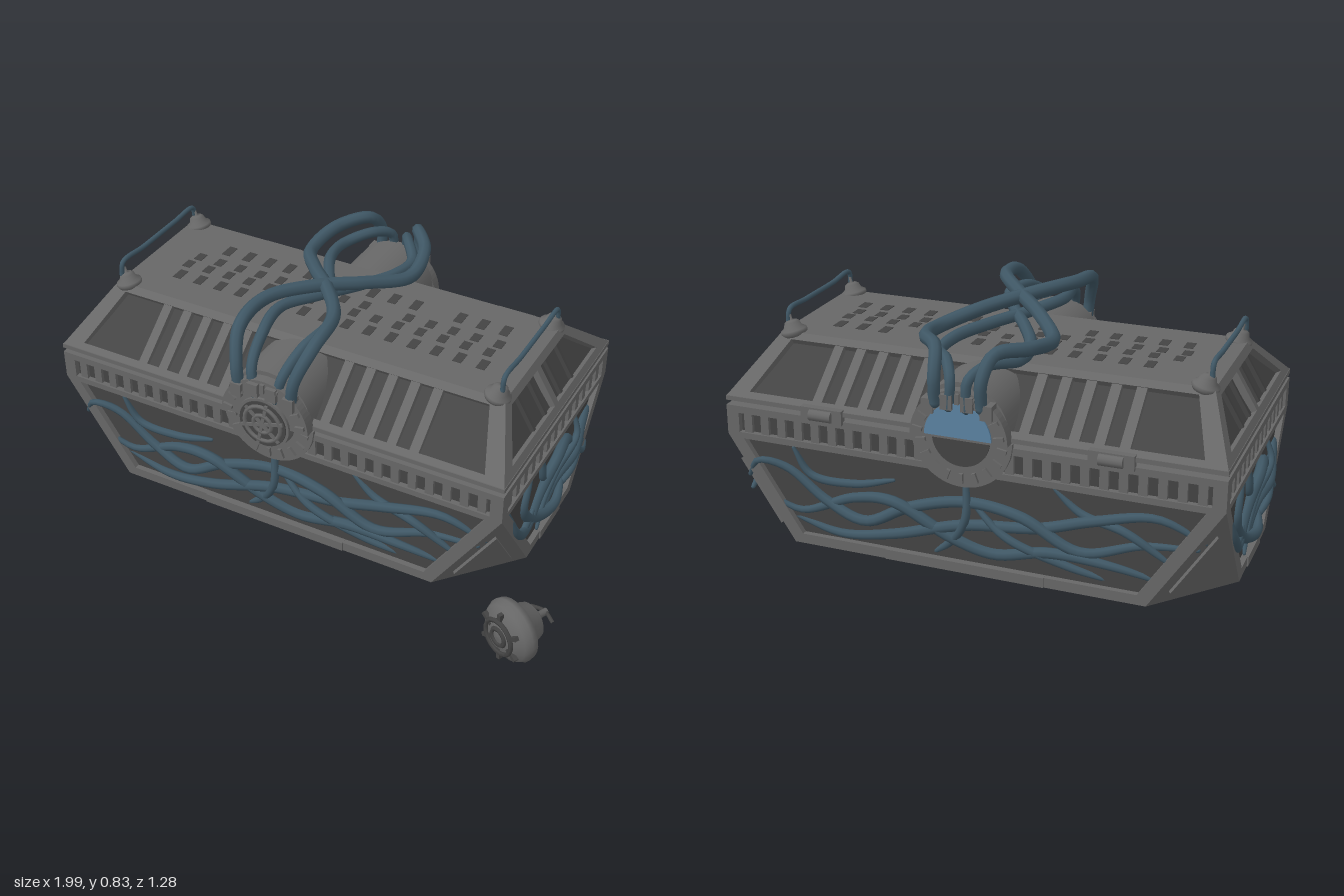
import * as THREE from 'three';
import { ConvexGeometry } from 'three/addons/geometries/ConvexGeometry.js';

const V = (x, y, z) => new THREE.Vector3(x, y, z);
const mat = (name, color) => Object.assign(new THREE.MeshStandardMaterial({ color }), { name });

export function createModel() {
  const grey = mat('worn grey metal', 0x676767);
  const dark = mat('dark metal', 0x444444);
  const blue = mat('blue cable', 0x3f5765);
  const glow = mat('pale blue core', 0x5b83a3);

  const model = new THREE.Group();
  model.name = 'cableChest';
  const chest = new THREE.Group();
  chest.name = 'chest';
  chest.position.set(-0.105, 0, -0.105);
  model.add(chest);

  const HW = 0.865, HD = 0.475;     // half width and depth
  const CX = 0.24, CZ = 0.27;       // corner cuts at the floor
  const APEX = 0.37;                // height where the corner cuts start
  const TW = 0.76, TD = 0.25;       // half size of the lid's flat top

  const add = (parent, name, geo, material, x = 0, y = 0, z = 0) => {
    const m = new THREE.Mesh(geo, material);
    m.name = name;
    m.position.set(x, y, z);
    parent.add(m);
    return m;
  };
  const box = (parent, name, w, h, d, material, x, y, z) =>
    add(parent, name, new THREE.BoxGeometry(w, h, d), material, x, y, z);
  const poly = (pts, Type = THREE.Shape) => new Type(pts.map(p => new THREE.Vector2(p[0], p[1])));
  const extrude = (shape, depth) => new THREE.ExtrudeGeometry(shape, { depth, bevelEnabled: false, curveSegments: 16 });
  const plate = (outer, holes, depth) => {
    const s = poly(outer);
    s.holes = holes.map(h => poly(h, THREE.Path));
    return extrude(s, depth);
  };
  // Half disc, upper or lower
  const halfDisc = (r, depth, upper) =>
    extrude(new THREE.Shape().absarc(0, 0, r, upper ? 0 : Math.PI, upper ? Math.PI : 2 * Math.PI, false), depth);
  // Cable through points, tapered toward its ends
  const cable = (parent, name, pts, r, taper = 0.5) => {
    const curve = new THREE.CatmullRomCurve3(pts);
    const segs = pts.length * 6, sides = 8;
    const geo = new THREE.TubeGeometry(curve, segs, r, sides, false);
    const pos = geo.attributes.position, p = V(0, 0, 0);
    for (let i = 0; i <= segs; i++) {
      const c = curve.getPointAt(i / segs);
      const k = 1 - taper * Math.pow(Math.abs(2 * i / segs - 1), 3);
      for (let j = 0; j <= sides; j++) {
        const n = i * (sides + 1) + j;
        p.fromBufferAttribute(pos, n).sub(c).multiplyScalar(k).add(c);
        pos.setXYZ(n, p.x, p.y, p.z);
      }
    }
    add(parent, name, geo, blue);
    for (const e of [0, 1]) {
      const c = curve.getPointAt(e);
      add(parent, name + 'End', new THREE.SphereGeometry(r * (1 - taper), 8, 6), blue, c.x, c.y, c.z);
    }
  };

  // Dark inner bodies of base and lid
  const hull = [], lidHull = [], g = 0.02;
  for (const sx of [-1, 1]) for (const sz of [-1, 1]) {
    const w = HW - g, d = HD - g;
    hull.push(V(sx * w, 0.46, sz * d), V(sx * w, APEX, sz * d),
      V(sx * (w - CX), 0.015, sz * d), V(sx * w, 0.015, sz * (d - CZ)));
    lidHull.push(V(sx * w, 0.5, sz * d), V(sx * (TW - g), 0.655, sz * (TD - g)));
  }
  add(chest, 'baseBody', new ConvexGeometry(hull), dark);
  add(chest, 'lidBody', new ConvexGeometry(lidHull), dark);
  box(chest, 'baseRim', 2 * HW, 0.02, 2 * HD, grey, 0, 0.465, 0);
  box(chest, 'lidRim', 2 * HW, 0.016, 2 * HD, grey, 0, 0.5, 0);
  box(chest, 'lidTop', 2 * TW, 0.03, 2 * TD, grey, 0, 0.665, 0);
  const fx = HW - 0.01, fz = HD - 0.01, floor = [];
  for (const [sx, sz] of [[1, 1], [-1, 1], [-1, -1], [1, -1]]) {
    const ends = [[sx * fx, sz * (fz - CZ)], [sx * (fx - CX), sz * fz]];
    floor.push(...(sx * sz > 0 ? ends : ends.reverse()));
  }
  add(chest, 'floorPlate', plate(floor, [], 0.014).rotateX(Math.PI / 2), grey, 0, 0.018, 0);

  // Root-like cables, as points across a face
  const longRoots = [
    [[-.8, .22], [-.75, .29], [-.65, .27], [-.5, .17], [-.35, .13], [-.2, .2], [0, .25], [.2, .24], [.4, .15], [.6, .2], [.78, .22]],
    [[-.7, .15], [-.6, .12], [-.4, .2], [-.25, .22], [-.05, .12], [.1, .08], [.3, .13], [.5, .12], [.66, .08]],
    [[-.64, .09], [-.45, .06], [-.25, .1], [0, .17], [.25, .2], [.45, .27], [.65, .31], [.8, .24]],
    [[0, .36], [.01, .2], [-.05, .1], [-.12, .04]],
    [[-.62, .35], [-.56, .26], [-.4, .25], [-.25, .29]],
    [[.3, .35], [.4, .28], [.55, .25], [.7, .15]],
    [[.02, .25], [.15, .16], [.35, .09], [.5, .05]],
  ];
  const shortRoots = [
    [[-.38, .33], [-.33, .21], [-.2, .13], [-.1, .21], [0, .3], [.12, .3], [.2, .22], [.28, .14], [.36, .12]],
    [[-.21, .35], [-.24, .24], [-.14, .13], [.02, .08], [.16, .1]],
    [[0, .05], [.04, .17], [.18, .2], [.28, .26], [.41, .28]],
    [[.22, .35], [.2, .27], [.06, .2], [-.04, .13], [-.1, .05]],
    [[-.1, .35], [-.08, .27], [-.02, .24]],
    [[-.27, .07], [-.22, .14], [-.16, .18]],
    [[.12, .06], [.17, .13], [.27, .17], [.4, .2]],
  ];

  // Four walls with their lid slopes
  ['front', 'left', 'back', 'right'].forEach((side, i) => {
    const long = i % 2 === 0;
    const W = long ? HW : HD, D = long ? HD : HW, cut = long ? CX : CZ;
    const topW = long ? TW : TD, run = D - (long ? TD : TW);
    const face = new THREE.Group();
    face.name = side + 'Wall';
    face.rotation.y = i * Math.PI / 2;
    chest.add(face);

    const b = 0.045, low = W - cut;
    const outline = [[-low, 0], [low, 0], [W, APEX], [W, 0.475], [-W, 0.475], [-W, APEX]];
    const band = [[-W + b, .38], [W - b, .38], [W - b, .45], [-W + b, .45]];
    const opening = [[-low + .03, .035], [low - .03, .035], [W - .06, .358], [-W + .06, .358]];
    add(face, 'baseFrame', plate(outline, [band, opening], 0.028), grey, 0, 0, D - 0.028);

    // Slats in the upper band
    const n = Math.round(2 * (W - b) / 0.064);
    for (let k = 0; k < n; k++)
      box(face, 'bandSlat', 0.03, 0.075, 0.018, grey, ((k + .5) / n - .5) * 2 * (W - b), 0.415, D - 0.016);
    box(face, 'floorLip', 0.9 * low, 0.035, 0.02, grey, 0, 0.018, D - 0.005);

    // Lid slope frame, built flat then leaned back
    const slope = new THREE.Group();
    slope.name = 'lidSlope';
    slope.position.set(0, 0.505, D);
    slope.rotation.x = -Math.atan2(run, 0.175);
    face.add(slope);
    const L = Math.hypot(run, 0.175), a = 0.03, e = long ? 0.06 : 0.075;
    const trap = [[-W, 0], [W, 0], [topW, L], [-topW, L]];
    const inL = [-W + e + .02, a], inT = [-topW + (long ? .045 : .02), L - a];
    const holes = long
      ? [[inL, [-inL[0], a], [-inT[0], L - a], inT]]
      : [-1, 1].map(s => [[s * .015, a], [-s * inL[0], a], [-s * inT[0], L - a], [s * .015, L - a]]);
    add(slope, 'slopeFrame', plate(trap, holes, 0.025), grey, 0, 0, -0.025);
    if (long) for (const s of [-1, 1]) for (let k = 0; k < 5; k++)
      box(slope, 'slopeRib', 0.034, L - 0.06, 0.022, grey, s * (0.2 + k * 0.083), L / 2, -0.014);
    else for (const x of [-.17, -.07, .07, .17])
      box(slope, 'slopeRib', 0.014, L - 0.07, 0.015, dark, x, L / 2, -0.014);

    // Cables creeping over the wall, dipping in at their ends
    (long ? longRoots : shortRoots).forEach((root, r) => {
      const last = root.length - 1;
      const pts = root.map(([x, y], k) => V(x, y, D - (k === 0 || k === last ? 0.02 : 0.007) + 0.012 * Math.sin(k * 1.9 + r * 2)));
      cable(face, 'rootCable', pts, r < 3 ? 0.02 : 0.015, 0.6);
    });
  });

  // Cut corners: a plain triangle with a raised smaller one
  for (const sx of [-1, 1]) for (const sz of [-1, 1]) {
    let A = V(sx * (HW - CX), 0, sz * HD), B = V(sx * HW, 0, sz * (HD - CZ));
    if (sx * sz < 0) [A, B] = [B, A];
    const u = B.clone().sub(A), len = u.length();
    u.normalize();
    const v = V(sx * HW, APEX, sz * HD).sub(A), px = v.dot(u);
    v.addScaledVector(u, -px);
    const h = v.length();
    v.normalize();
    const nrm = u.clone().cross(v);
    const tri = [[0, 0], [len, 0], [px, h]];
    const mid = [(len + px) / 3, h / 3];
    const inner = tri.map(q => [mid[0] + (q[0] - mid[0]) * .6, mid[1] + (q[1] - mid[1]) * .6]);
    const corner = new THREE.Group();
    corner.name = 'cornerGusset';
    corner.applyMatrix4(new THREE.Matrix4().makeBasis(u, v, nrm).setPosition(A));
    chest.add(corner);
    add(corner, 'cornerPlate', plate(tri, [], 0.02), grey, 0, 0, -0.02);
    add(corner, 'cornerBoss', plate(inner, [], 0.01), grey);
  }

  // Vent slots in the lid's top
  [[-.115, .06], [-.03, .045], [.03, .045], [.105, .055]].forEach(([z, d], r) => {
    for (let k = 0; k < 15; k++) if ((k * 7 + r * 3) % 11 !== 0)
      box(chest, 'ventSlot', 0.032, 0.004, d, dark, -0.6 + k * 0.086 + (r % 2) * 0.012, 0.68, z);
  });

  // Drum through the lid with a round lock plate at each end
  add(chest, 'drum', new THREE.CylinderGeometry(0.16, 0.16, 0.95, 32).rotateX(Math.PI / 2), grey, 0, 0.515, 0);
  for (const s of [1, -1]) {
    const lock = new THREE.Group();
    lock.name = s > 0 ? 'frontLock' : 'backLock';
    lock.position.set(0, 0.49, s * 0.47);
    lock.rotation.y = s > 0 ? 0 : Math.PI;
    chest.add(lock);
    add(lock, 'upperLockPlate', halfDisc(0.168, 0.04, true), grey);
    add(lock, 'lowerLockPlate', halfDisc(0.174, 0.014, false), grey);
    for (let k = 0; k < 18; k++) {
      const t = (k + .5) * Math.PI / 9;
      box(lock, 'lockTooth', 0.035, 0.014, 0.016, grey, Math.cos(t) * .142, Math.sin(t) * .142, k < 9 ? 0.042 : 0.016).rotation.z = t;
    }
    if (s > 0) {
      add(lock, 'lockHub', new THREE.CylinderGeometry(0.1, 0.105, 0.045, 32).rotateX(Math.PI / 2), grey, 0, 0, 0.026);
      add(lock, 'lockFace', new THREE.CylinderGeometry(0.09, 0.09, 0.006, 32).rotateX(Math.PI / 2), dark, 0, 0, 0.049);
      for (const r of [.035, .07]) add(lock, 'lockInnerRing', new THREE.TorusGeometry(r, 0.008, 6, 24), grey, 0, 0, 0.052);
      for (let k = 0; k < 3; k++) box(lock, 'lockSpoke', 0.17, 0.012, 0.01, grey, 0, 0, 0.053).rotation.z = k * Math.PI / 3 + .3;
    } else {
      add(lock, 'lockCore', halfDisc(0.115, 0.006, true), glow, 0, 0.01, 0.04);
      add(lock, 'lockRecess', halfDisc(0.1, 0.004, false), dark, 0, 0, 0.014);
    }
    for (const x of [-.1, -.035, .035, .1])
      box(lock, 'cableSocket', 0.04, 0.05, 0.045, grey, x, 0.14 - Math.abs(x) * .3, 0.033);
  }

  // Crossing cables that arch over the lid
  for (const s of [-1, 1]) {
    cable(chest, 'archCable', [V(s * .1, .59, .5), V(s * .11, .68, .495), V(s * .14, .78, .42), V(s * .13, .808, .26), V(s * .02, .8, .1),
      V(-s * .1, .775, -.03), V(-s * .2, .745, -.18), V(-s * .18, .765, -.34), V(-s * .1, .77, -.45), V(-s * .08, .7, -.51), V(-s * .08, .61, -.51)], 0.025, 0.2);
    cable(chest, 'innerArchCable', [V(s * .04, .59, .5), V(s * .06, .68, .48), V(s * .08, .74, .38), V(s * .1, .755, .22), V(s * .03, .745, .08),
      V(-s * .06, .735, -.06), V(-s * .13, .725, -.2), V(-s * .14, .715, -.32), V(-s * .07, .725, -.43), V(-s * .03, .69, -.5), V(-s * .03, .6, -.51)], 0.021, 0.2);
  }

  // Knobs on the lid corners, joined in pairs by a thin wire
  const knobProfile = [[0, -.055], [.06, -.05], [.1, -.025], [.112, 0], [.108, .022], [.075, .045], [.062, .085], [.04, .1], [.012, .105], [.012, .15], [0, .15]];
  const knobGeo = new THREE.LatheGeometry(knobProfile.map(p => new THREE.Vector2(p[0], p[1])), 24);
  for (const sx of [-1, 1]) {
    for (const sz of [-1, 1]) {
      const k = add(chest, 'lidKnob', knobGeo, grey, sx * .725, .675, sz * .232);
      k.scale.setScalar(0.42);
      k.rotation.z = -sx * 0.25;
    }
    const x = sx * .745;
    cable(chest, 'handleWire', [V(x, .71, -.235), V(x, .75, -.225), V(x, .752, -.1), V(x, .752, .1), V(x, .755, .235), V(x, .71, .245)], 0.009, 0);
  }

  // Hinges at the back
  for (const x of [-.5, .5]) {
    box(chest, 'hingePlate', 0.15, 0.05, 0.025, grey, x, 0.49, -HD);
    add(chest, 'hingePin', new THREE.CylinderGeometry(0.02, 0.02, 0.08, 12).rotateZ(Math.PI / 2), grey, x, 0.49, -HD - 0.01);
  }

  // Fallen knob lying beside the chest
  const fallen = new THREE.Group();
  fallen.name = 'fallenKnob';
  fallen.position.set(0.888, 0.112, 0.555);
  fallen.quaternion.setFromUnitVectors(V(0, 1, 0), V(0.45, 0, -0.89).normalize());
  model.add(fallen);
  add(fallen, 'knobBody', knobGeo, grey);
  for (const r of [.03, .062]) add(fallen, 'knobRidge', new THREE.TorusGeometry(r, 0.009, 5, 16).rotateX(Math.PI / 2), dark, 0, -0.052, 0);
  for (let k = 0; k < 6; k++) {
    const t = k * Math.PI / 3;
    box(fallen, 'knobShard', 0.045, 0.016, 0.014, dark, Math.cos(t) * .07, -0.045, Math.sin(t) * .07).rotation.y = -t;
  }
  const wirePath = new THREE.CatmullRomCurve3([V(.9, .11, .42), V(.95, .115, .425), V(.995, .11, .46)]);
  add(model, 'brokenWire', new THREE.TubeGeometry(wirePath, 8, 0.007, 6), dark);
  return model;
}
